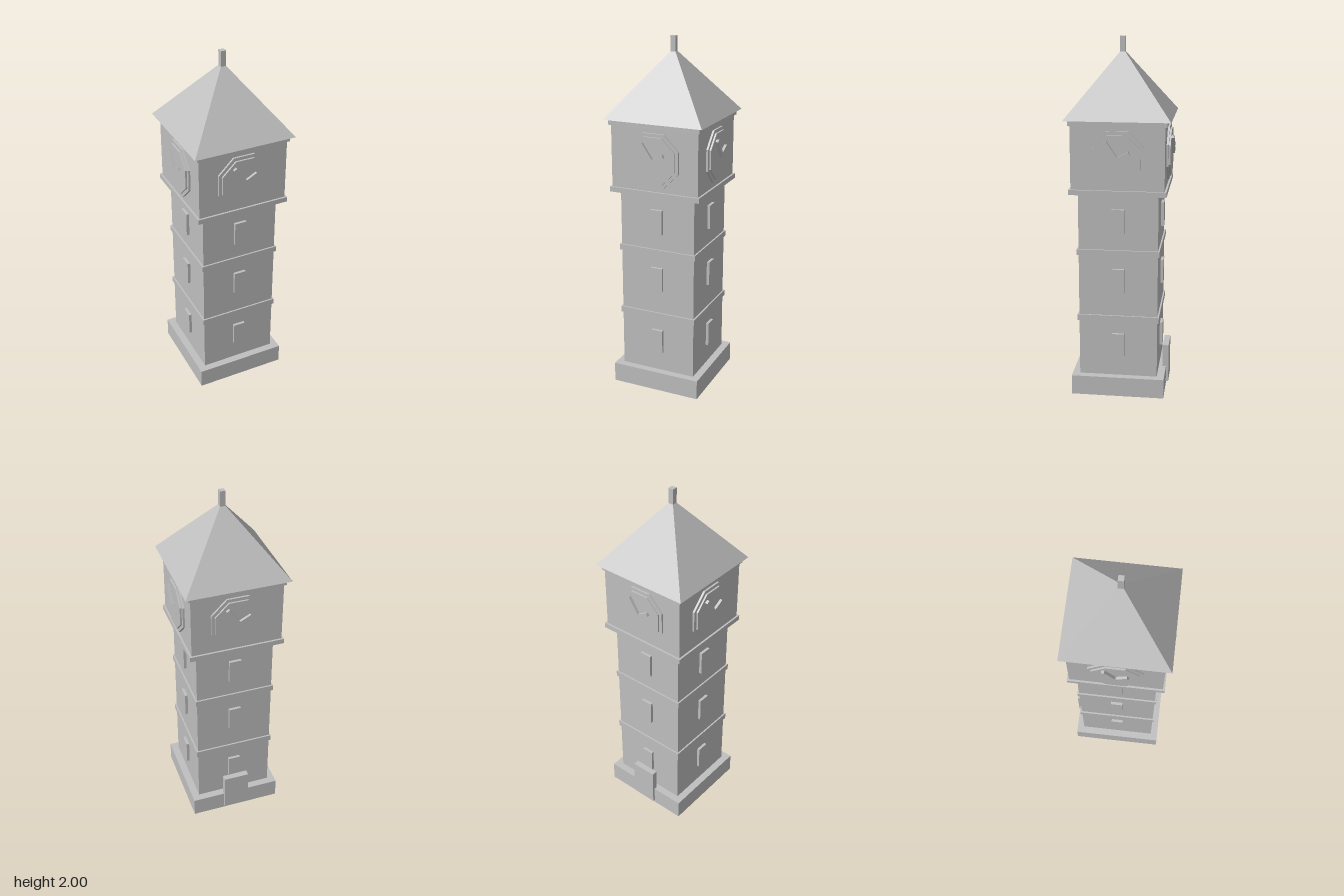
import * as THREE from 'three';

const stone = new THREE.MeshStandardMaterial({ color: 0xbfbfbf });
stone.name = 'pale grey stone';
stone.flatShading = true;

function add(parent, name, geometry, x = 0, y = 0, z = 0) {
  const mesh = new THREE.Mesh(geometry, stone);
  mesh.name = name;
  mesh.position.set(x, y, z);
  parent.add(mesh);
  return mesh;
}

// Square block centred on the tower axis, between two heights
function block(parent, name, half, y0, y1) {
  return add(parent, name, new THREE.BoxGeometry(half * 2, y1 - y0, half * 2), 0, (y0 + y1) / 2, 0);
}

// Octagonal plate facing +z with flat sides at top, bottom, left and right
function octagon(apothem, depth) {
  const r = apothem / Math.cos(Math.PI / 8);
  return new THREE.CylinderGeometry(r, r, depth, 8).rotateY(Math.PI / 8).rotateX(Math.PI / 2);
}

// Clock hand reaching from the pivot to (dx, dy)
function hand(parent, name, dx, dy, z0, z1) {
  const length = Math.hypot(dx, dy);
  const geometry = new THREE.BoxGeometry(0.02, length + 0.01, z1 - z0).translate(0, length / 2, 0);
  const mesh = add(parent, name, geometry, 0, 0, (z0 + z1) / 2);
  mesh.rotation.z = Math.atan2(-dx, dy);
}

function clock() {
  const group = new THREE.Group();
  group.name = 'clock';
  add(group, 'clockRim', octagon(0.146, 0.025), 0, 0, 0.2525);
  add(group, 'clockFace', octagon(0.128, 0.035), 0, 0, 0.2575);
  hand(group, 'minuteHand', -0.06, 0.088, 0.265, 0.291);
  hand(group, 'hourHand', 0.062, 0.033, 0.265, 0.29);
  group.position.y = 1.375;
  return group;
}

export function createModel() {
  const tower = new THREE.Group();
  tower.name = 'clockTower';

  // Stacked masonry
  block(tower, 'base', 0.262, 0, 0.113);
  block(tower, 'shaft', 0.22, 0.113, 1.172);
  block(tower, 'lowerBand', 0.229, 0.439, 0.474);
  block(tower, 'upperBand', 0.229, 0.824, 0.857);
  block(tower, 'clockLedge', 0.265, 1.172, 1.2);
  block(tower, 'clockRoom', 0.254, 1.2, 1.545);
  block(tower, 'cornice', 0.265, 1.545, 1.574);

  // Pyramid roof and finial
  const roof = new THREE.ConeGeometry(0.287 * Math.SQRT2, 0.361, 4).rotateY(Math.PI / 4);
  add(tower, 'roof', roof, 0, 1.574 + 0.361 / 2, 0);
  block(tower, 'finial', 0.015, 1.9, 2);

  // Windows and a clock on each of the four sides
  for (let i = 0; i < 4; i++) {
    const side = new THREE.Group();
    side.name = 'side' + (i + 1);
    for (const y of [0.298, 0.68, 1.02])
      add(side, 'window', new THREE.BoxGeometry(0.069, 0.138, 0.03), 0, y, 0.221);
    side.add(clock());
    side.rotation.y = i * Math.PI / 2;
    tower.add(side);
  }

  // Door panel on the back
  add(tower, 'door', new THREE.BoxGeometry(0.148, 0.227, 0.034), 0, 0.131, -0.259);
  return tower;
}
